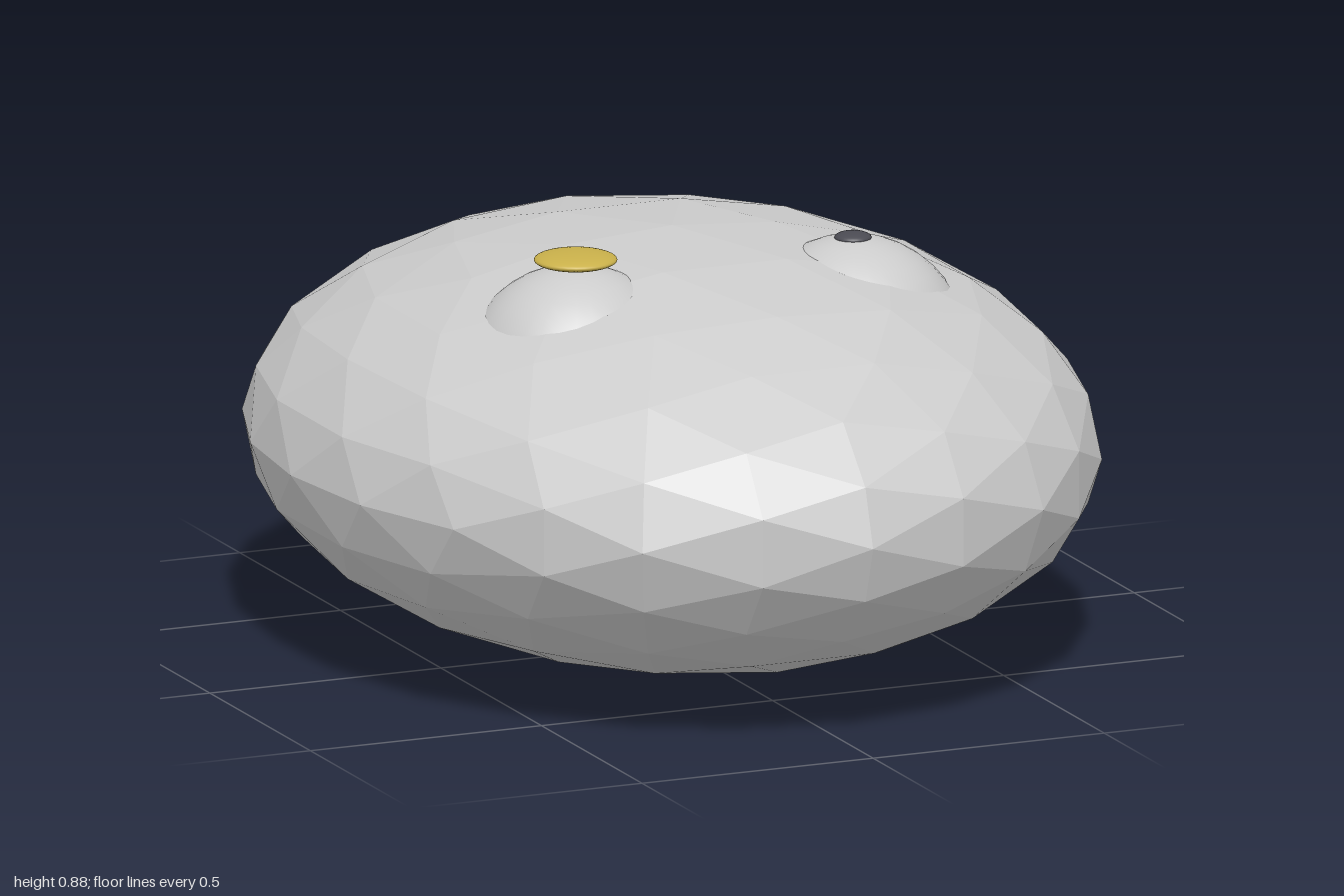
import * as THREE from 'three';

const grey = new THREE.MeshStandardMaterial({ color: 0xcccccc });
const facetedGrey = new THREE.MeshStandardMaterial({ color: 0xcccccc, flatShading: true });
const dark = new THREE.MeshStandardMaterial({ color: 0x4a4a52 });
const gold = new THREE.MeshStandardMaterial({ color: 0xc9b04a });

// Ellipsoid with its own radii, placed at a point
function ellipsoid(name, material, radii, position) {
  const geometry = new THREE.SphereGeometry(1, 32, 20).scale(...radii);
  const mesh = new THREE.Mesh(geometry, material);
  mesh.name = name;
  mesh.position.set(...position);
  return mesh;
}

// Icosphere split in half twice, so every split is pushed out to the sphere
function icosphere() {
  const coarse = new THREE.IcosahedronGeometry(1, 1).attributes.position;
  const corners = Array.from(coarse.array);
  const faces = Array.from({ length: coarse.count }, (_, i) => i);
  return new THREE.PolyhedronGeometry(corners, faces, 1, 1);
}

export function createModel() {
  const model = new THREE.Group();
  model.name = 'pebbleCreature';

  // Low-poly egg-shaped body
  const bodyGeometry = icosphere().scale(0.825, 0.428, 1);
  bodyGeometry.computeVertexNormals();
  const body = new THREE.Mesh(bodyGeometry, facetedGrey);
  body.name = 'body';
  body.position.y = 0.428;
  model.add(body);

  // Eyes half sunk in the back, with a small pupil on top of each
  for (const [side, s] of [['left', 1], ['right', -1]]) {
    model.add(ellipsoid(`${side}Eye`, grey, [0.23, 0.23, 0.23], [0.3 * s, 0.622, 0.21]));
    model.add(ellipsoid(`${side}Pupil`, dark, [0.037, 0.012, 0.037], [0.3 * s, 0.85, 0.21]));
  }

  // Flat gold disc over the right eye
  model.add(ellipsoid('eyeDisc', gold, [0.083, 0.016, 0.083], [-0.3, 0.866, 0.21]));

  // Larger gold disc whose rim just breaks through the left flank
  model.add(ellipsoid('flankDisc', gold, [0.22, 0.018, 0.22], [0.593, 0.512, -0.035]));

  return model;
}
